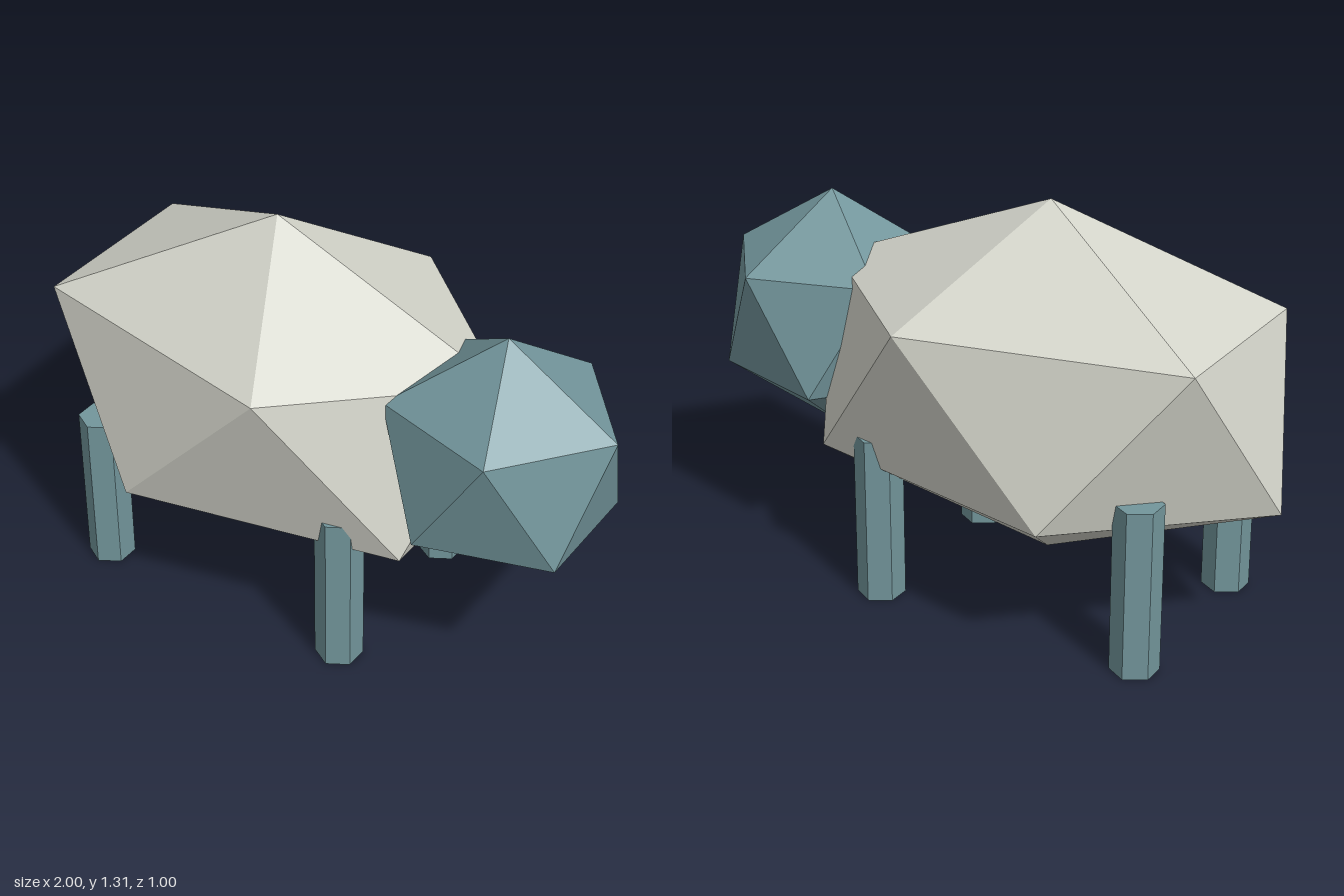
import * as THREE from 'three';

function material(name, color) {
  const m = new THREE.MeshStandardMaterial({ color });
  m.name = name;
  m.flatShading = true;
  return m;
}

// Icosahedron standing on one corner, with an upper-ring corner towards +x
function gem(rx, ry, rz) {
  const golden = (1 + Math.sqrt(5)) / 2;
  const geometry = new THREE.IcosahedronGeometry(1, 0);
  geometry.rotateZ(-Math.atan(1 / golden));
  geometry.scale(rx, ry, rz);
  geometry.computeVertexNormals();
  return geometry;
}

export function createModel() {
  const model = new THREE.Group();
  model.name = 'sheep';
  const wool = material('wool', 0xd3d4ca);
  const skin = material('skin', 0x73969c);

  function add(name, geometry, mat, x, y, z) {
    const mesh = new THREE.Mesh(geometry, mat);
    mesh.name = name;
    mesh.position.set(x, y, z);
    model.add(mesh);
  }

  // Woolly body and head
  add('body', gem(0.894, 0.585, 0.559 / 0.9511), wool, -0.2, 0.727, 0);
  model.children[0].geometry.scale(1, 1, 0.5257 / 0.8944 / (0.559 / 0.9511));
  add('head', gem(0.414, 0.412, 0.379), skin, 0.63, 0.778, 0.035);

  // Four six-sided legs
  const legHeight = 0.555;
  const leg = new THREE.CylinderGeometry(0.077, 0.077, legHeight, 6);
  for (const [end, x] of [['front', 0.232], ['back', -0.685]]) {
    for (const [side, z] of [['Right', 0.312], ['Left', -0.312]]) {
      add(end + side + 'Leg', leg, skin, x, legHeight / 2, z);
    }
  }
  return model;
}
